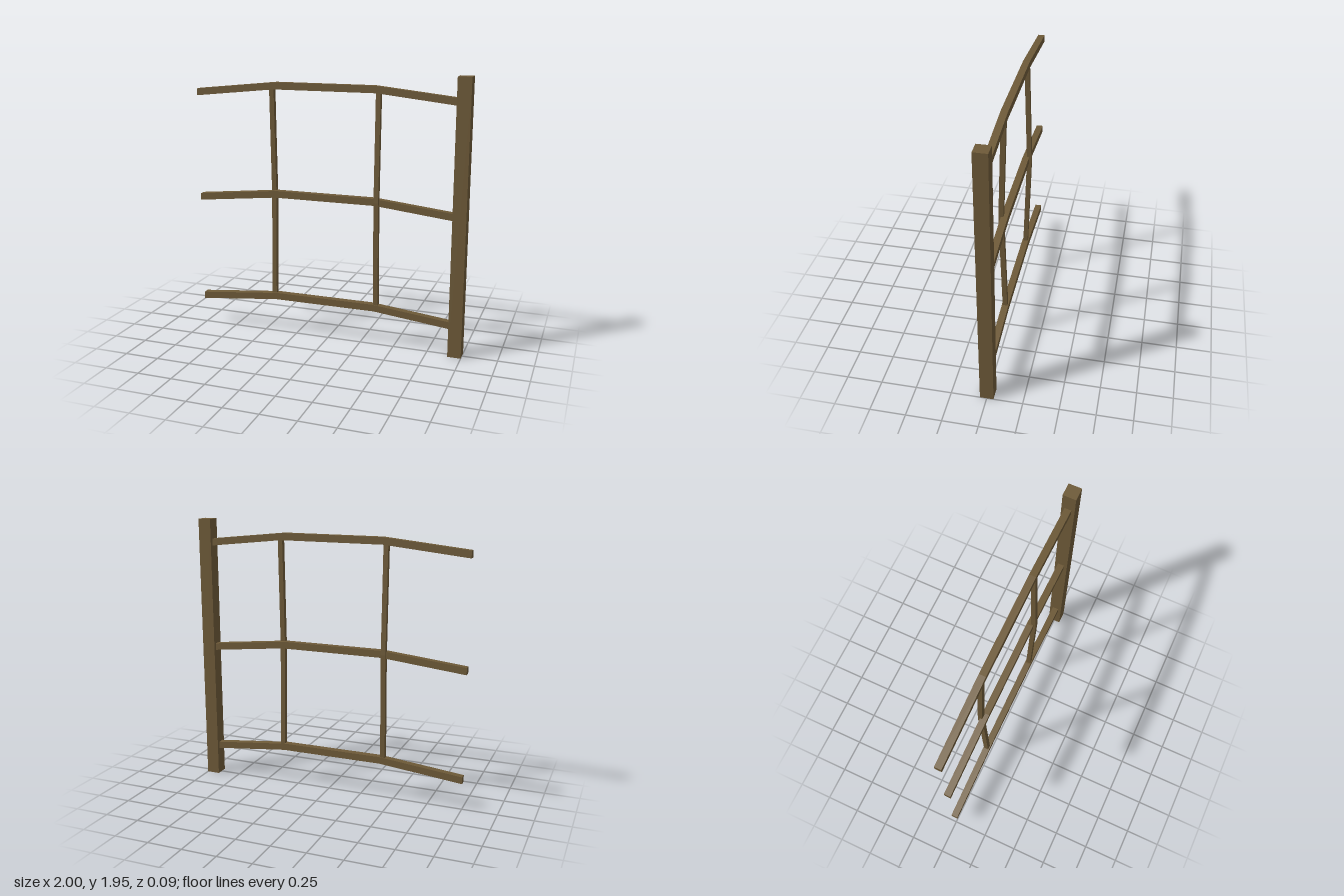
import * as THREE from 'three';

// Extrude a closed outline by depth, centred on its own z
function slab(points, depth) {
  const shape = new THREE.Shape(points.map(([x, y]) => new THREE.Vector2(x, y)));
  const geometry = new THREE.ExtrudeGeometry(shape, { depth, bevelEnabled: false });
  return geometry.translate(0, 0, -depth / 2);
}

export function createModel() {
  const fence = new THREE.Group();
  fence.name = 'fence';
  const wood = new THREE.MeshStandardMaterial({ color: 0x6e5a38 });
  const add = (name, geometry) => {
    const mesh = new THREE.Mesh(geometry, wood);
    mesh.name = name;
    fence.add(mesh);
    return mesh;
  };

  // Square end post
  add('post', new THREE.BoxGeometry(0.095, 1.953, 0.095)).position.set(0.9525, 0.9765, 0);

  // Three rails, each sloping down at both ends
  const railOutline = [
    [-1, -0.063], [-0.4, 0], [0.355, 0], [0.92, -0.062],
    [0.92, -0.012], [0.34, 0.05], [-0.39, 0.05], [-1, -0.013],
  ];
  ['bottomRail', 'middleRail', 'topRail'].forEach((name, i) => {
    add(name, slab(railOutline, 0.048)).position.y = 0.26 + i * 0.781;
  });

  // Thin uprights woven around the middle rail, one behind it and one in front
  const half = 0.017;
  const weave = [[0.285, 0], [1.065, 0.024], [1.845, 0]];
  for (const [name, x, side] of [['rightUpright', -0.417, -1], ['leftUpright', 0.366, 1]]) {
    const outline = [
      ...weave.map(([y, z]) => [-side * z + half, y]),
      ...weave.map(([y, z]) => [-side * z - half, y]).reverse(),
    ];
    const upright = add(name, slab(outline, 0.034));
    upright.rotation.y = Math.PI / 2; // outline x becomes -z
    upright.position.x = x;
  }

  return fence;
}
